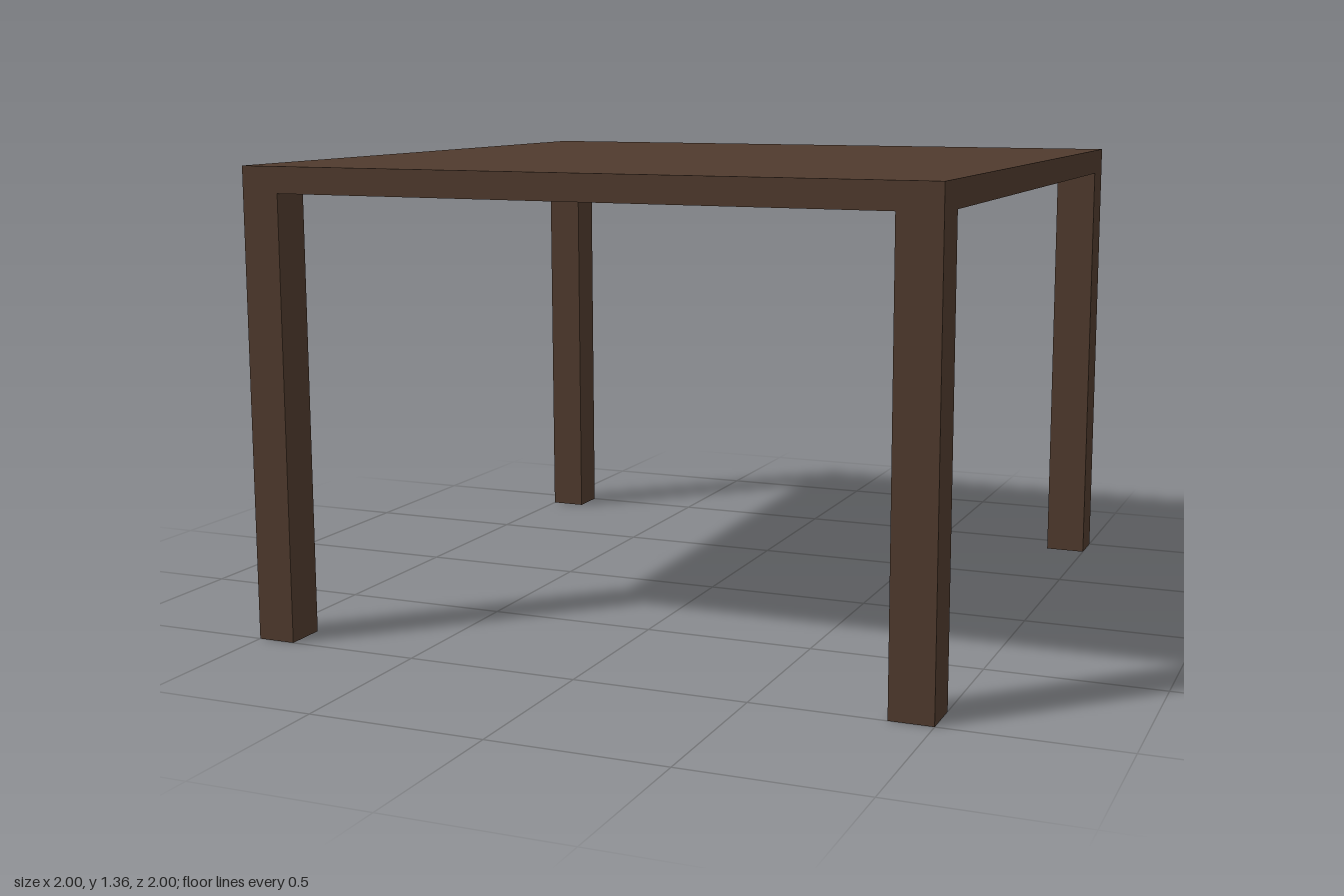
import * as THREE from 'three';

export function createModel() {
  const group = new THREE.Group();
  const darkWood = new THREE.MeshStandardMaterial({ color: 0x4f3a2d });
  darkWood.name = 'darkWood';

  const height = 1.355, underside = 1.28;

  // Adds a box spanning the given minimum and maximum corners
  const addBox = (name, [x0, y0, z0], [x1, y1, z1]) => {
    const mesh = new THREE.Mesh(new THREE.BoxGeometry(x1 - x0, y1 - y0, z1 - z0), darkWood);
    mesh.position.set((x0 + x1) / 2, (y0 + y1) / 2, (z0 + z1) / 2);
    mesh.name = name;
    group.add(mesh);
  };

  // Square slab top
  addBox('tableTop', [-1, underside, -1], [1, height, 1]);

  // Corner legs, flush with the edges; the left and front ones are slightly thicker
  const xSpans = { Right: [-1, -0.888], Left: [0.878, 1] };
  const zSpans = { front: [0.876, 1], back: [-1, -0.885] };
  for (const [end, z] of Object.entries(zSpans)) {
    for (const [side, x] of Object.entries(xSpans)) {
      addBox(`${end}${side}Leg`, [x[0], 0, z[0]], [x[1], underside, z[1]]);
    }
  }

  return group;
}
